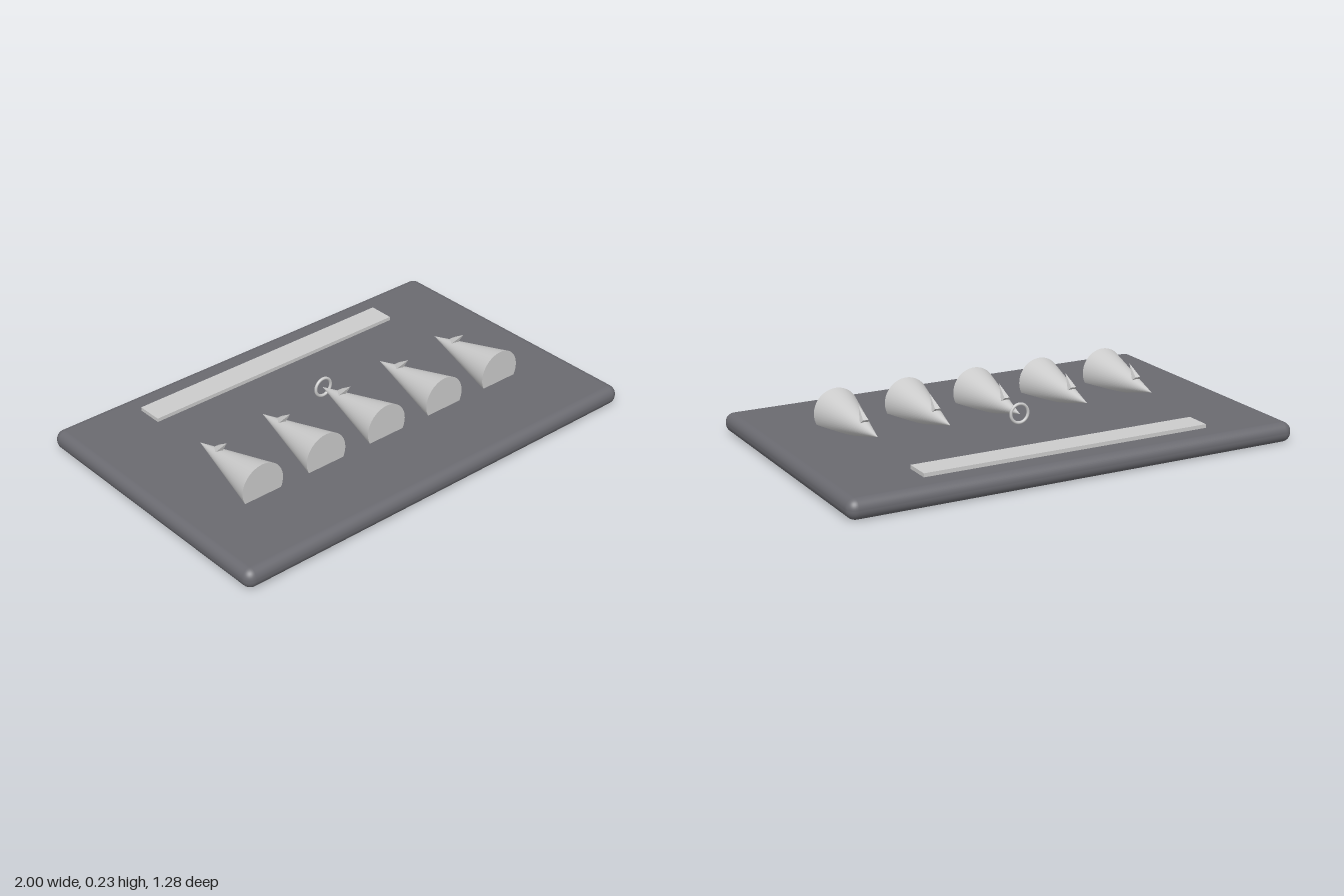
import * as THREE from 'three';
import { RoundedBoxGeometry } from 'three/addons/geometries/RoundedBoxGeometry.js';

const grey = new THREE.MeshStandardMaterial({ color: 0xcccccc });
const facetedGrey = new THREE.MeshStandardMaterial({ color: 0xcccccc, flatShading: true });
const darkGrey = new THREE.MeshStandardMaterial({ color: 0x6a6a70 });

function addPart(parent, name, geometry, material, x, y, z) {
  const mesh = new THREE.Mesh(geometry, material);
  mesh.name = name;
  mesh.position.set(x, y, z);
  parent.add(mesh);
  return mesh;
}

export function createModel() {
  const model = new THREE.Group();
  model.name = 'coneBoard';

  // Rounded base slab and the raised strip along its back
  addPart(model, 'baseSlab', new RoundedBoxGeometry(2, 0.085, 1.28, 5, 0.04), darkGrey, 0, 0.0425, 0);
  addPart(model, 'backStrip', new THREE.BoxGeometry(1.28, 0.03, 0.115), grey, 0, 0.086, -0.4655);

  // Row of cones lying down, tips to the back, each with a small spike
  const bodyGeometry = new THREE.ConeGeometry(0.1, 0.4, 48).rotateX(-Math.PI / 2);
  const spikeGeometry = new THREE.ConeGeometry(0.02, 0.08, 5).rotateX(Math.PI / 4);
  for (let i = -2; i <= 2; i++) {
    const piece = new THREE.Group();
    piece.name = 'conePiece';
    piece.position.x = i * 0.32;
    addPart(piece, 'coneBody', bodyGeometry, grey, 0, 0.13, 0.08);
    addPart(piece, 'spike', spikeGeometry, facetedGrey, 0, 0.187, 0.03);
    model.add(piece);
  }

  // Ring around the tip of the middle cone
  addPart(model, 'tipRing', new THREE.TorusGeometry(0.04, 0.0065, 12, 40), grey, 0, 0.132, -0.115);

  return model;
}
